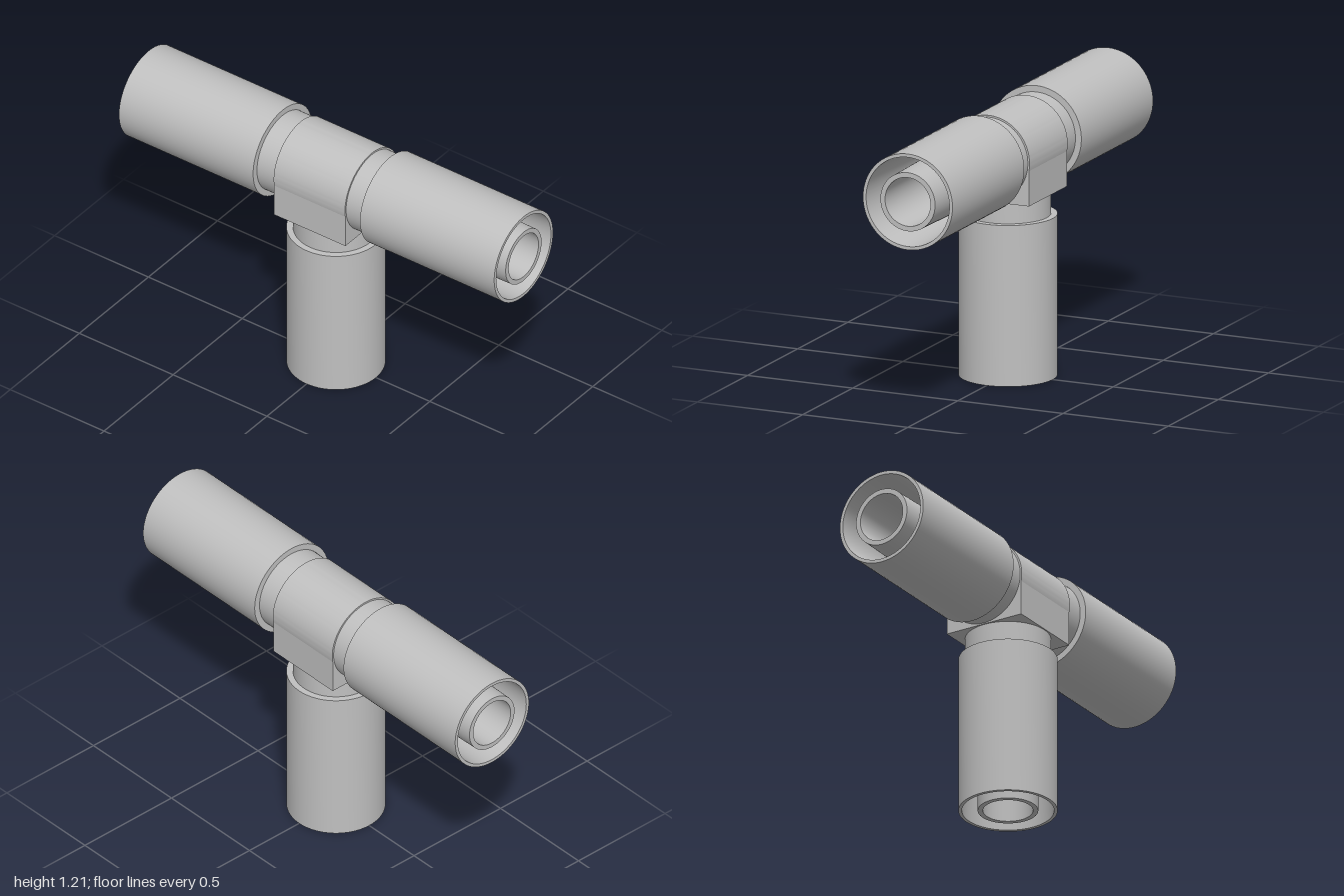
import * as THREE from 'three';
import { toCreasedNormals } from 'three/addons/utils/BufferGeometryUtils.js';

const AXIS = 1;      // height of the horizontal run
const BORE = 0.108;  // radius of the through passage
const HALF = 0.19;   // half width of the central block
const SEG = 72;

const points = list => list.map(([r, d]) => new THREE.Vector2(r, d));

export function createModel() {
  const model = new THREE.Group();
  model.name = 'teeFitting';
  const grey = new THREE.MeshStandardMaterial({ color: 0xc0c0c0, side: THREE.DoubleSide });
  grey.name = 'grey';

  const add = (parent, name, geometry) => {
    const mesh = new THREE.Mesh(geometry, grey);
    mesh.name = name;
    parent.add(mesh);
    return mesh;
  };

  // Neck, outer sleeve, tapered socket recess and inner spigot, outward along +y
  const armGeometry = toCreasedNormals(new THREE.LatheGeometry(points([
    [0.185, 0.182], [0.185, 0.285], [0.213, 0.285], [0.213, 1], [0.198, 1],
    [0.178, 0.4], [0.14, 0.4], [0.13, 1], [BORE, 1],
  ]), SEG), 0.6);

  // Bore wall whose inner end is cut to meet the other bores
  const boreGeometry = start => {
    const g = new THREE.CylinderGeometry(BORE, BORE, 1, SEG, 1, true).translate(0, 0.5, 0);
    const p = g.attributes.position;
    for (let i = 0; i < p.count; i++) {
      if (p.getY(i) < 0.5) p.setY(i, start(p.getX(i)));
    }
    return g;
  };

  const arms = [
    ['leftArm', -Math.PI / 2, x => Math.max(0, x)],
    ['rightArm', Math.PI / 2, x => Math.max(0, -x)],
    ['lowerArm', Math.PI, x => Math.abs(x)],
  ];
  for (const [name, angle, start] of arms) {
    const arm = new THREE.Group();
    arm.name = name;
    add(arm, 'sleeve', armGeometry);
    add(arm, 'bore', boreGeometry(start));
    arm.position.y = AXIS;
    arm.rotation.z = angle;
    model.add(arm);
  }

  // Rounded top of the central body
  const saddle = add(model, 'bodyTop', toCreasedNormals(new THREE.LatheGeometry(points([
    [0.15, -HALF], [0.193, -HALF], [0.193, HALF], [0.15, HALF],
  ]), SEG, Math.PI - 0.25, Math.PI + 0.5), 0.6));
  saddle.position.y = AXIS;
  saddle.rotation.z = -Math.PI / 2;

  // Square lower block, made of walls around the passages
  const block = new THREE.Group();
  block.name = 'bodyBlock';
  block.position.y = AXIS;
  model.add(block);
  const wall = 0.01;

  const endShape = new THREE.Shape();
  endShape.moveTo(-HALF, 0);
  endShape.lineTo(-HALF, -HALF);
  endShape.lineTo(HALF, -HALF);
  endShape.lineTo(HALF, 0);
  endShape.lineTo(0.15, 0);
  endShape.absarc(0, 0, 0.15, 0, -Math.PI, true);
  const extrude = shape => new THREE.ExtrudeGeometry(shape,
    { depth: wall, bevelEnabled: false, curveSegments: 32 });

  for (const side of [-1, 1]) {
    const end = add(block, 'endWall', extrude(endShape));
    end.rotation.y = side * Math.PI / 2;
    end.position.x = side * (HALF - wall);
    const face = add(block, 'sideWall', new THREE.BoxGeometry(2 * HALF, HALF, wall));
    face.position.set(0, -HALF / 2, side * (HALF - wall / 2));
  }

  const baseShape = new THREE.Shape(points([
    [-HALF, -HALF], [HALF, -HALF], [HALF, HALF], [-HALF, HALF],
  ]));
  baseShape.holes.push(new THREE.Path().absarc(0, 0, 0.15, 0, Math.PI * 2, true));
  const base = add(block, 'baseWall', extrude(baseShape));
  base.rotation.x = Math.PI / 2;
  base.position.y = -HALF + wall;

  return model;
}
